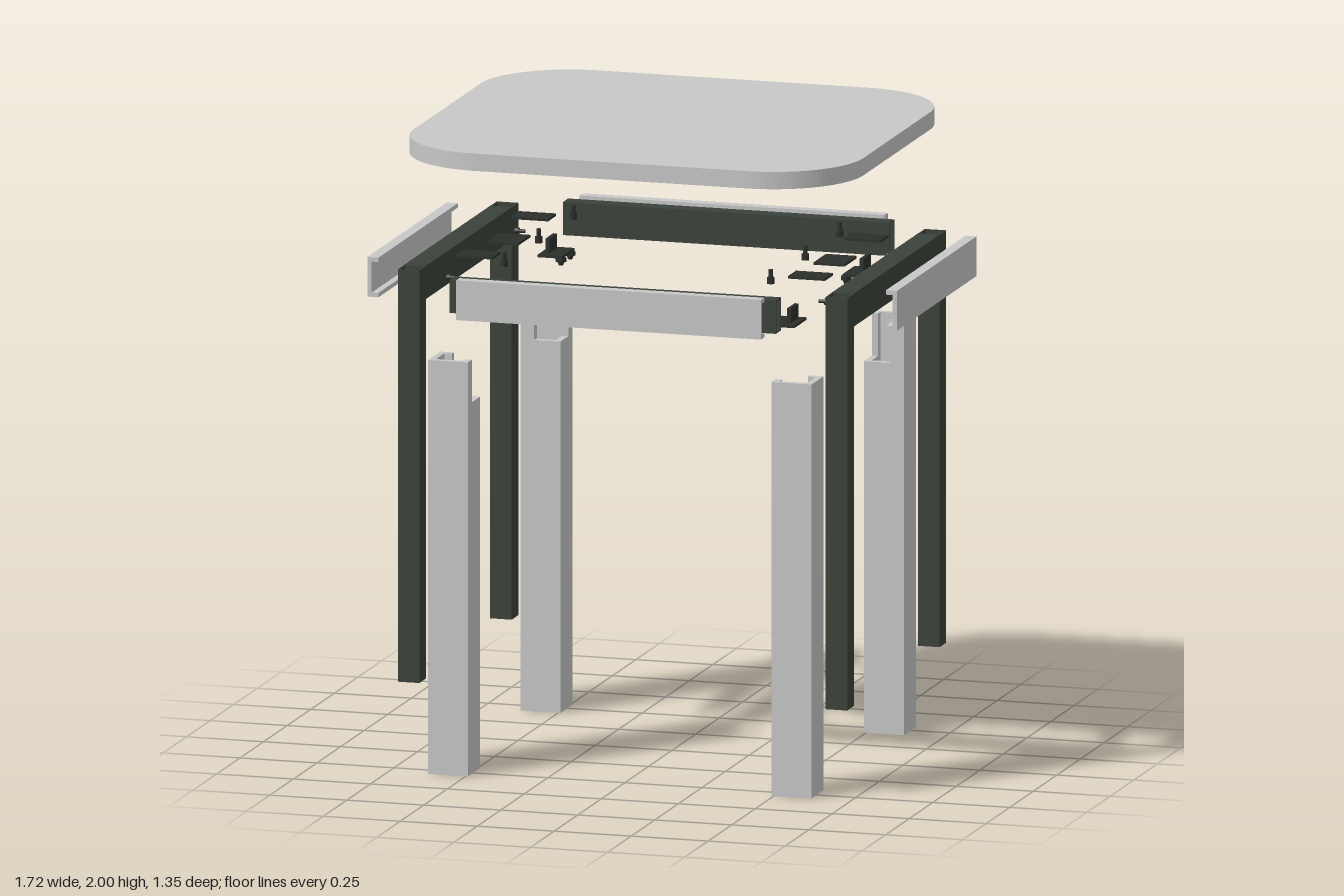
import * as THREE from 'three';

const paint = (name, hex) => {
  const m = new THREE.MeshStandardMaterial({ color: hex });
  m.name = name;
  return m;
};

export function createModel() {
  const light = paint('light grey', 0xc8c8c8);
  const dark = paint('dark green grey', 0x3b423a);
  const hardware = paint('black hardware', 0x2c302c);
  const model = new THREE.Group();
  model.name = 'explodedStool';

  const add = (name, geo, mat, x, y, z) => {
    const m = new THREE.Mesh(geo, mat);
    m.name = name;
    m.position.set(x, y, z);
    model.add(m);
    return m;
  };
  const polygon = (pts) => new THREE.Shape(pts.map(([x, y]) => new THREE.Vector2(x, y)));
  const rect = (w, h) => [[-w / 2, -h / 2], [w / 2, -h / 2], [w / 2, h / 2], [-w / 2, h / 2]];
  // Extrusion along z, centred on its length
  const extrude = (shape, length) => {
    const g = new THREE.ExtrudeGeometry(shape, { depth: length, bevelEnabled: false, curveSegments: 16 });
    return g.translate(0, 0, -length / 2);
  };
  // Open-ended rectangular tube along z
  const tube = (w, h, wall, length) => {
    const s = polygon(rect(w, h));
    s.holes.push(polygon(rect(w - 2 * wall, h - 2 * wall).reverse()));
    return extrude(s, length);
  };

  // Seat: rounded rectangle
  const w = 0.73, d = 0.645, r = 0.29;
  const seat = new THREE.Shape();
  seat.moveTo(-w + r, -d);
  seat.lineTo(w - r, -d);
  seat.absarc(w - r, -d + r, r, -Math.PI / 2, 0);
  seat.absarc(w - r, d - r, r, 0, Math.PI / 2);
  seat.absarc(-w + r, d - r, r, Math.PI / 2, Math.PI);
  seat.absarc(-w + r, -d + r, r, Math.PI, Math.PI * 1.5);
  add('seat', extrude(seat, 0.055).rotateX(-Math.PI / 2), light, 0, 1.9725, 0);

  // Apron covers: channels open towards the middle
  const channel = (length) => extrude(polygon([
    [-0.018, -0.063], [0.018, -0.063], [0.018, 0.063], [-0.018, 0.063],
    [-0.018, 0.049], [0.004, 0.049], [0.004, -0.049], [-0.018, -0.049],
  ]), length);
  for (const s of [1, -1]) {
    add('sideApron', channel(0.845), light, s * 0.842, 1.537, 0).rotation.y = s > 0 ? 0 : Math.PI;
    add('endApron', channel(0.99), light, 0, 1.537, s * 0.656).rotation.y = -s * Math.PI / 2;

    // Cross rail behind each end apron
    add('crossRail', tube(0.055, 0.105, 0.005, 1.06).rotateY(Math.PI / 2), dark, 0, 1.538, s * 0.602);
    // Side frame rail between two posts
    add('sideRail', tube(0.07, 0.105, 0.005, 0.912), dark, s * 0.695, 1.538, 0);
    // Middle fixing plate
    add('middlePlate', new THREE.BoxGeometry(0.1, 0.008, 0.13), hardware, s * 0.53, 1.59, 0);
  }

  // Leg sleeve: square tube with its inner corner cut away at the top
  const h = 0.065, t = 0.02, stub = 0.045, cut = 1.18, top = 1.315;
  const sleeveTop = polygon([
    [-h, h - stub], [-h + t, h - stub], [-h + t, h - t], [h - t, h - t], [h - t, -h + t],
    [h - stub, -h + t], [h - stub, -h], [h, -h], [h, h], [-h, h],
  ]);

  for (const sx of [1, -1]) {
    for (const sz of [1, -1]) {
      // Quarter turns carry the notch to the inner corner of each leg
      const turn = sx > 0 ? (sz > 0 ? 0 : Math.PI / 2) : (sz > 0 ? -Math.PI / 2 : Math.PI);
      const leg = new THREE.Group();
      leg.name = 'legSleeve';
      leg.position.set(sx * 0.558, 0, sz * 0.49);
      leg.rotation.y = turn;
      const lower = new THREE.Mesh(tube(2 * h, 2 * h, t, cut).rotateX(Math.PI / 2), light);
      lower.name = 'sleeveBody';
      lower.position.y = cut / 2;
      const upper = new THREE.Mesh(extrude(sleeveTop, top - cut).rotateX(Math.PI / 2), light);
      upper.name = 'sleeveNotch';
      upper.position.y = (top + cut) / 2;
      leg.add(lower, upper);
      model.add(leg);

      // Side frame post
      add('framePost', tube(0.07, 0.07, 0.005, 1.31).rotateX(Math.PI / 2), dark, sx * 0.695, 0.935, sz * 0.49);

      // Upper fixing plate
      add('upperPlate', new THREE.BoxGeometry(0.12, 0.008, 0.085), hardware, sx * 0.54, 1.602, sz * 0.295);

      // Corner bracket: base plate, upright and two screws
      add('bracketBase', new THREE.BoxGeometry(0.08, 0.008, 0.13), hardware, sx * 0.495, 1.471, sz * 0.385);
      add('bracketUpright', new THREE.BoxGeometry(0.012, 0.05, 0.08), hardware, sx * 0.51, 1.498, sz * 0.385);
      for (const z of [0.335, 0.432]) {
        add('screwHead', new THREE.CylinderGeometry(0.017, 0.017, 0.012, 12), hardware, sx * 0.463, 1.461, sz * z);
        add('screwTip', new THREE.CylinderGeometry(0.011, 0.007, 0.012, 12), hardware, sx * 0.463, 1.449, sz * z);
      }

      // Sideways bolt for the frame
      const bolt = add('sideBolt', new THREE.CylinderGeometry(0.006, 0.006, 0.035, 12), hardware, sx * 0.605, 1.538, sz * 0.36);
      bolt.rotation.z = Math.PI / 2;
      const head = add('sideBoltHead', new THREE.CylinderGeometry(0.011, 0.011, 0.012, 12), hardware, sx * 0.613, 1.538, sz * 0.36);
      head.rotation.z = Math.PI / 2;
    }

    // Seat inserts and the screws that reach up to them
    for (const z of [-0.365, 0, 0.365]) {
      add('seatInsert', new THREE.CylinderGeometry(0.013, 0.013, 0.032, 12), hardware, sx * 0.433, 1.905, z);
      add('seatScrew', new THREE.CylinderGeometry(0.007, 0.007, 0.04, 12), hardware, sx * 0.433, 1.61, z);
      add('seatScrewHead', new THREE.CylinderGeometry(0.012, 0.012, 0.02, 12), hardware, sx * 0.433, 1.595, z);
    }
  }
  return model;
}
